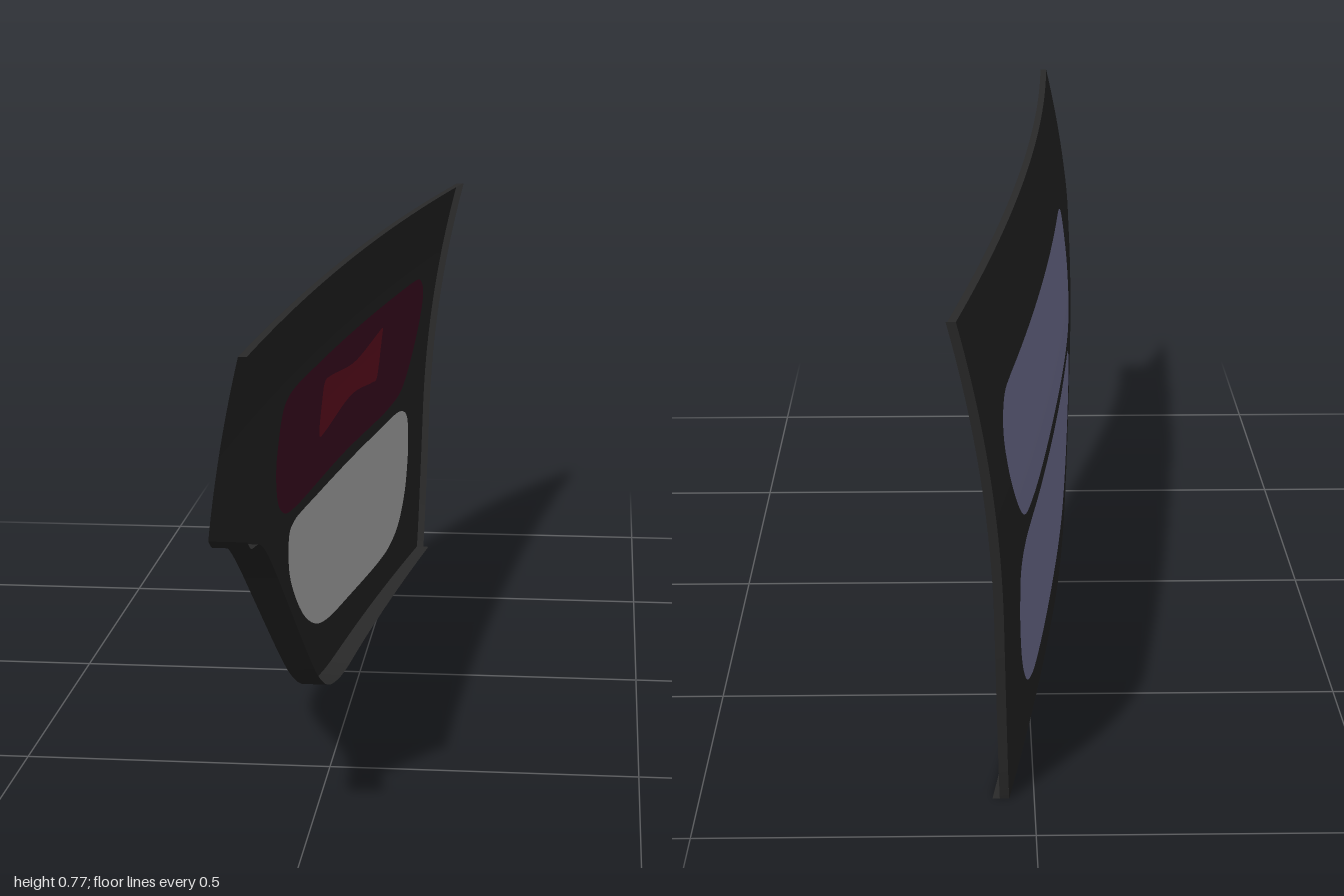
import * as THREE from 'three';

const TOP = 0.772, REAR = -0.88;

// Sideways bow of the panel: curves along its length and flares out at the top.
const bow = (z, y) => -0.065 - 0.09 * z + 0.03 * z * z + 0.25 * Math.max(0, y - 0.3) ** 2;

// Rear end rakes backward as it rises.
const rake = (z, y) => z - 0.12 * Math.pow(Math.max(0, y) / TOP, 0.85) * Math.max(0, z / REAR) ** 2;

// Grid surface from a point function of u, v in 0..1.
function grid(nu, nv, point) {
  const pos = [], idx = [];
  for (let i = 0; i <= nu; i++)
    for (let j = 0; j <= nv; j++) pos.push(...point(i / nu, j / nv));
  for (let i = 0; i < nu; i++)
    for (let j = 0; j < nv; j++) {
      const a = i * (nv + 1) + j, b = a + nv + 1;
      idx.push(a, b, a + 1, b, b + 1, a + 1);
    }
  const g = new THREE.BufferGeometry();
  g.setAttribute('position', new THREE.Float32BufferAttribute(pos, 3));
  g.setIndex(idx);
  g.computeVertexNormals();
  return g;
}

// Stations are [z, lower y, upper y] from front to rear.
const curveOf = (stations) =>
  new THREE.CatmullRomCurve3(stations.map((s) => new THREE.Vector3(...s)), false, 'centripetal');

// Patch lying on the bowed surface, shifted sideways by offset.
function patch(stations, offset) {
  const c = curveOf(stations);
  return grid(stations.length * 5, 14, (u, v) => {
    const s = c.getPoint(u), y = s.y + (s.z - s.y) * v;
    return [bow(s.x, y) + offset, y, s.x];
  });
}

const panelStations = [
  [1, 0.51, TOP], [0.96, 0.49, TOP], [0.88, 0.475, TOP], [0.8, 0.44, TOP], [0.7, 0.38, TOP],
  [0.6, 0.31, TOP], [0.5, 0.235, TOP], [0.4, 0.16, TOP], [0.3, 0.09, TOP], [0.2, 0.04, TOP],
  [0.1, 0.015, TOP], [0, 0.003, TOP], [-0.15, 0, TOP], [-0.4, 0, TOP], [-0.65, 0, TOP], [REAR, 0, TOP],
];
const upperStations = [
  [0.475, 0.5, 0.56], [0.465, 0.47, 0.585], [0.43, 0.42, 0.6], [0.37, 0.39, 0.605], [0.28, 0.378, 0.605],
  [-0.15, 0.373, 0.605], [-0.6, 0.37, 0.605], [-0.7, 0.385, 0.605], [-0.77, 0.43, 0.6],
  [-0.82, 0.49, 0.575], [-0.835, 0.53, 0.55],
];
const lowerStations = [
  [0.33, 0.3, 0.325], [0.32, 0.27, 0.345], [0.28, 0.225, 0.355], [0.2, 0.165, 0.355], [0.1, 0.12, 0.352],
  [0, 0.098, 0.35], [-0.2, 0.083, 0.347], [-0.5, 0.073, 0.343], [-0.6, 0.08, 0.343],
  [-0.68, 0.105, 0.34], [-0.74, 0.16, 0.325], [-0.765, 0.22, 0.3], [-0.768, 0.24, 0.27],
];
const accentStations = [
  [0.11, 0.475, 0.55], [0.1, 0.46, 0.56], [0.05, 0.459, 0.559], [-0.18, 0.478, 0.54],
  [-0.38, 0.461, 0.556], [-0.42, 0.46, 0.56], [-0.432, 0.49, 0.557],
];

export function createModel() {
  const model = new THREE.Group();
  const paint = (name, color) => {
    const m = new THREE.MeshStandardMaterial({ color, side: THREE.DoubleSide });
    m.name = name;
    return m;
  };
  const black = paint('black trim', 0x2a2a2a);
  const maroon = paint('maroon padding', 0x480f28);
  const red = paint('red accent', 0x741426);
  const grey = paint('light grey', 0xcccccc);
  const slate = paint('slate backing', 0x8484ac);
  const add = (name, geometry, material) => {
    const mesh = new THREE.Mesh(geometry, material);
    mesh.name = name;
    model.add(mesh);
  };

  // Main bowed sheet
  const edge = curveOf(panelStations);
  const onPanel = (u, v) => {
    const s = edge.getPoint(u), y = Math.max(0, s.y + (s.z - s.y) * v), z = rake(s.x, y);
    return [bow(z, y), y, z];
  };
  add('panel', grid(75, 24, onPanel), black);

  // Lips folded outward along the edges: [name, edge path, width along the path]
  const lips = [
    ['bottomLip', (t) => onPanel(t, 0), (t) => 0.055 - 0.03 * t * t],
    ['topLip', (t) => onPanel(t, 1), () => 0.012],
    ['rearLip', (t) => onPanel(1, t), () => 0.014],
  ];
  for (const [name, path, width] of lips)
    add(name, grid(75, 1, (t, v) => {
      const [x, y, z] = path(t);
      return [x + v * width(t), y, z];
    }), black);

  // Inlays on the outer face and their backing on the other face
  add('upperInlay', patch(upperStations, 0.004), maroon);
  add('accent', patch(accentStations, 0.007), red);
  add('lowerInlay', patch(lowerStations, 0.004), grey);
  add('upperBacking', patch(upperStations, -0.003), slate);
  add('lowerBacking', patch(lowerStations, -0.003), slate);

  return model;
}
